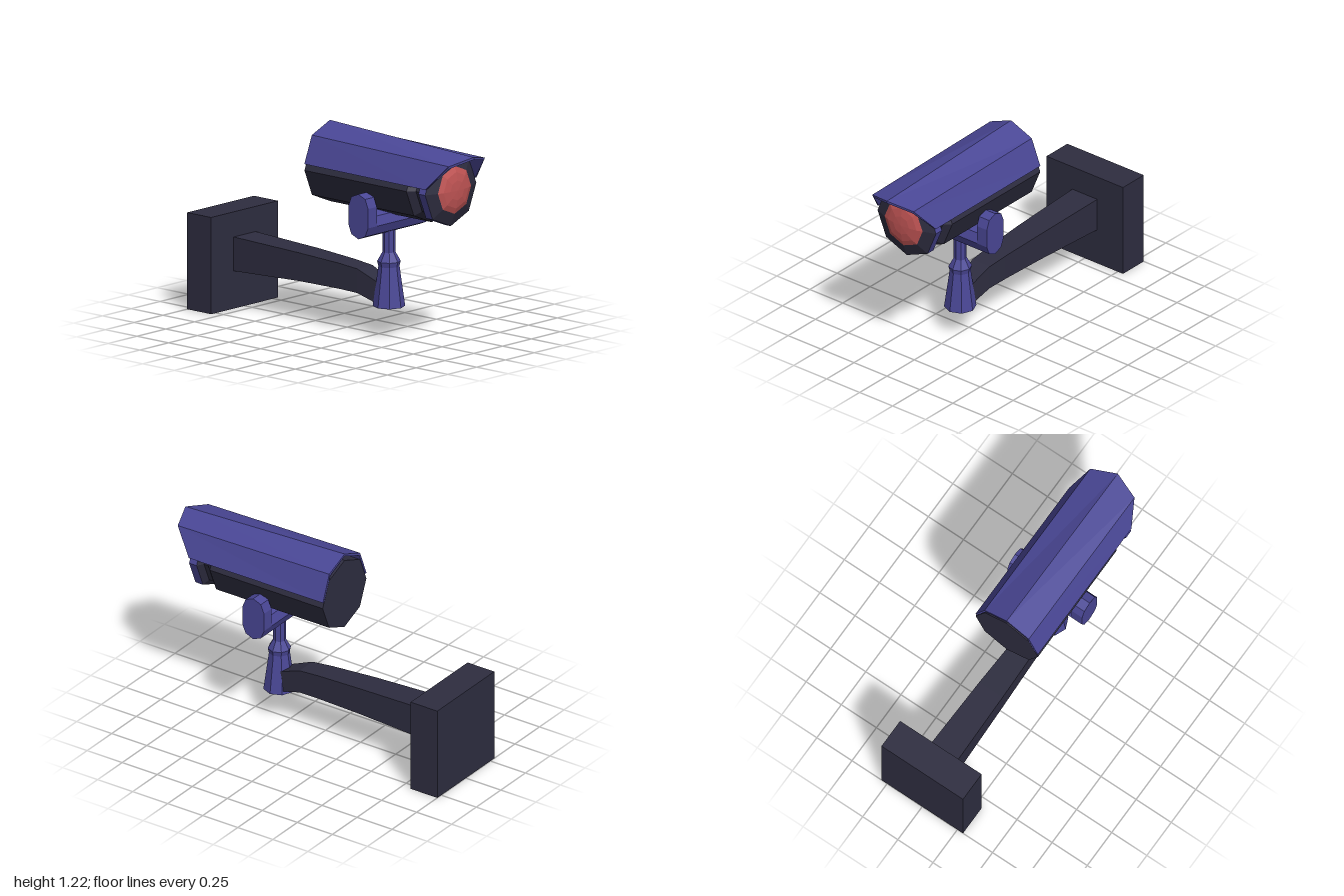
import * as THREE from 'three';

const paint = (name, color) => new THREE.MeshStandardMaterial({ name, color, flatShading: true });

// Skin between closed cross-sections (counter-clockwise, ordered towards +z), capped at both ends
function loft(sections) {
  const n = sections[0].length;
  const index = [];
  for (let s = 0; s < sections.length - 1; s++) {
    for (let i = 0; i < n; i++) {
      const j = (i + 1) % n;
      const a = s * n + i, b = s * n + j, c = b + n, d = a + n;
      index.push(a, b, c, a, c, d);
    }
  }
  const cap = (section) => THREE.ShapeUtils.triangulateShape(section.map(([x, y]) => new THREE.Vector2(x, y)), []);
  const last = (sections.length - 1) * n;
  for (const [a, b, c] of cap(sections[0])) index.push(a, c, b);
  for (const [a, b, c] of cap(sections[sections.length - 1])) index.push(last + a, last + b, last + c);
  const geometry = new THREE.BufferGeometry();
  geometry.setAttribute('position', new THREE.Float32BufferAttribute(sections.flat(2), 3));
  geometry.setIndex(index);
  const flat = geometry.toNonIndexed();
  flat.computeVertexNormals();
  return flat;
}

// Eight-sided turned part from [radius, height] pairs
const turned = (profile) => new THREE.LatheGeometry(profile.map(([r, h]) => new THREE.Vector2(r, h)), 8);

export function createModel() {
  const model = new THREE.Group();
  model.name = 'securityCamera';
  const purple = paint('purple', 0x4a4796);
  const dark = paint('darkGrey', 0x2e2d40);
  const red = paint('lensRed', 0xc25555);

  const add = (name, geometry, material, x = 0, y = 0, z = 0) => {
    const mesh = new THREE.Mesh(geometry, material);
    mesh.name = name;
    mesh.position.set(x, y, z);
    model.add(mesh);
    return mesh;
  };

  // Wall plate and tapering arm
  add('wallPlate', new THREE.BoxGeometry(0.58, 0.58, 0.19), dark, 0, 0.29, -0.905);
  const armSection = (z, w, low, high) => [[-w, low, z], [w, low, z], [w, high, z], [-w, high, z]];
  add('arm', loft([
    armSection(-0.82, 0.095, 0.225, 0.43),
    armSection(-0.3, 0.083, 0.243, 0.412),
    armSection(0, 0.072, 0.243, 0.396),
    armSection(0.14, 0.066, 0.238, 0.383),
    armSection(0.3, 0.055, 0.19, 0.32),
  ]), dark);

  // Upright post
  const pivotZ = 0.33;
  add('post', turned([
    [0, 0.18], [0.095, 0.18], [0.062, 0.42], [0.069, 0.45], [0.038, 0.505], [0.038, 0.68],
  ]), purple, 0, 0, pivotZ);

  // Yoke: crossbar with a rounded lug at each end
  const lowY = 0.702, highY = 0.818, r = 0.077;
  add('yokeCrossbar', turned([[0, -0.2], [r, -0.2], [r, 0.2], [0, 0.2]]).rotateZ(Math.PI / 2), purple, 0, lowY, pivotZ);
  const outline = [];
  for (const [centre, start] of [[highY, 0], [lowY, Math.PI]]) {
    for (let i = 0; i <= 4; i++) {
      const a = start + i * Math.PI / 4;
      outline.push(new THREE.Vector2(r * Math.cos(a), centre + r * Math.sin(a)));
    }
  }
  const lug = new THREE.ExtrudeGeometry(new THREE.Shape(outline), { depth: 0.076, bevelEnabled: false });
  lug.rotateY(Math.PI / 2);
  add('leftLug', lug, purple, 0.19, 0, pivotZ);
  add('rightLug', lug, purple, -0.266, 0, pivotZ);

  // Camera body, built along z
  const axisY = 0.957;
  const along = (name, profile, material) => add(name, turned(profile).rotateX(Math.PI / 2), material, 0, axisY);
  along('housing', [
    [0, -0.135], [0.222, -0.135], [0.222, 0.67], [0.183, 0.71], [0.183, 0.74], [0.222, 0.765],
  ], dark);
  along('frontRing', [[0.222, 0.765], [0.222, 0.818]], purple);
  along('frontBezel', [[0.222, 0.818], [0.144, 0.848]], dark);
  along('lens', [[0.144, 0.848], [0.11, 0.862], [0.06, 0.871], [0, 0.874]], red);

  // Sun shade: folded sheet with a swept-back front edge
  const shadeSection = (peak, shoulder, hem, zs) => [
    [0.222, hem, zs[2]], [0.157, shoulder, zs[1]], [0, peak, zs[0]], [-0.157, shoulder, zs[1]], [-0.222, hem, zs[2]],
    [-0.21, hem, zs[2]], [-0.148, shoulder - 0.014, zs[1]], [0, peak - 0.014, zs[0]],
    [0.148, shoulder - 0.014, zs[1]], [0.21, hem, zs[2]],
  ];
  add('sunShade', loft([
    shadeSection(1.222, 1.158, 0.995, [-0.136, -0.136, -0.136]),
    shadeSection(1.176, 1.138, 0.99, [1, 0.945, 0.82]),
  ]), purple);

  return model;
}
